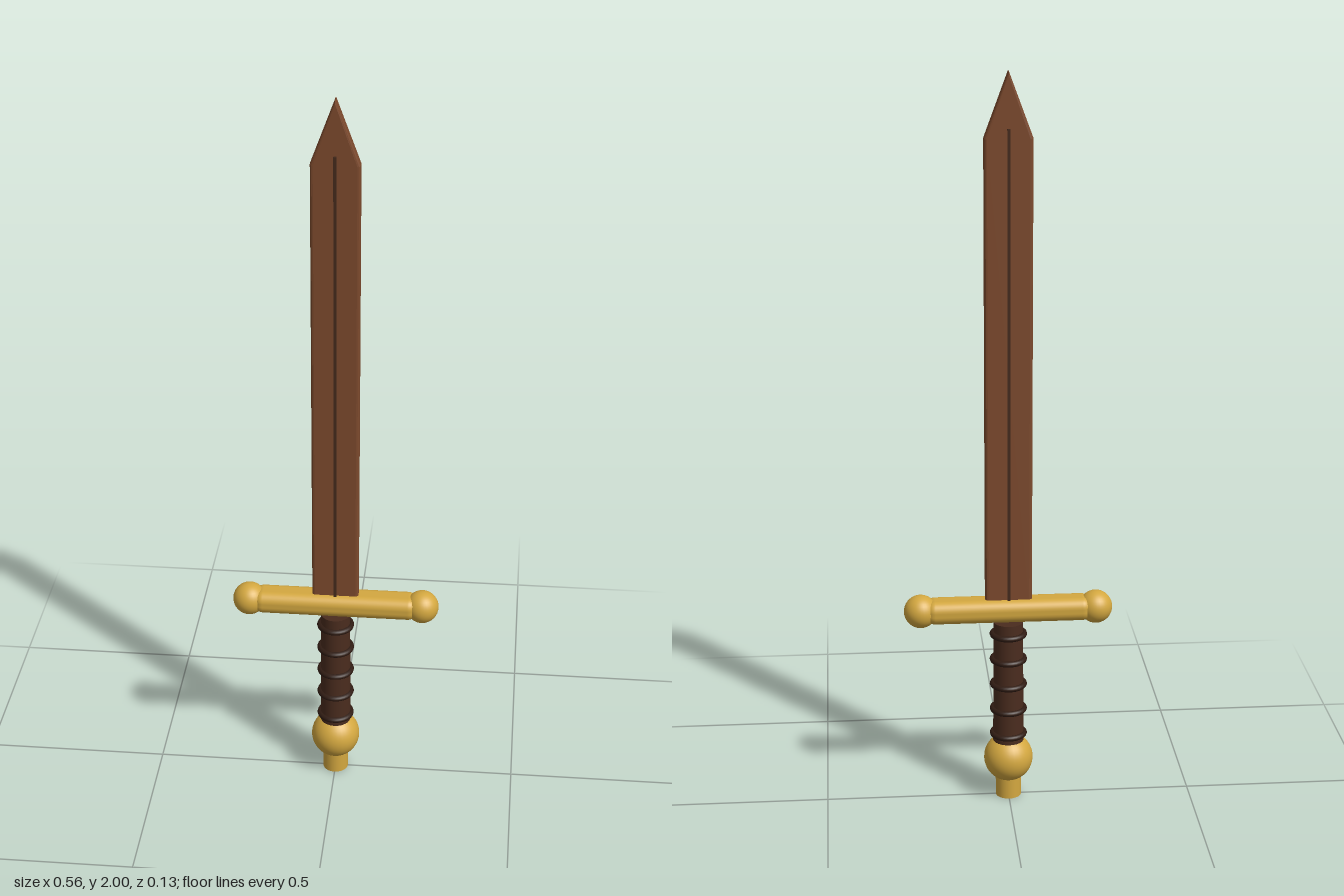
import * as THREE from 'three';
import { RoundedBoxGeometry } from 'three/addons/geometries/RoundedBoxGeometry.js';

const material = (name, color) => {
  const m = new THREE.MeshStandardMaterial({ color });
  m.name = name;
  return m;
};

export function createModel() {
  const group = new THREE.Group();
  const bladeBrown = material('blade brown', 0x7d4a2d);
  const ridgeBrown = material('ridge dark brown', 0x442a1c);
  const gripBrown = material('grip brown', 0x4a2c1e);
  const ringBrown = material('ring dark brown', 0x301c13);
  const gold = material('gold', 0xd4a840);

  const add = (name, geometry, mat, x = 0, y = 0, z = 0) => {
    const mesh = new THREE.Mesh(geometry, mat);
    mesh.name = name;
    mesh.position.set(x, y, z);
    group.add(mesh);
    return mesh;
  };

  // Blade: pointed outline with softly rounded edges
  const outline = new THREE.Shape([
    [-0.063, 0.56], [0.063, 0.56], [0.063, 1.83], [0, 2], [-0.063, 1.83],
  ].map(([x, y]) => new THREE.Vector2(x, y)));
  const bevel = 0.008;
  const blade = new THREE.ExtrudeGeometry(outline, {
    depth: 0.032 - 2 * bevel,
    bevelThickness: bevel, bevelSize: bevel, bevelOffset: -bevel, bevelSegments: 3,
  });
  blade.translate(0, 0, -0.016 + bevel);
  add('blade', blade, bladeBrown);

  // Central ridge standing proud of both faces
  add('bladeRidge', new THREE.BoxGeometry(0.008, 1.295, 0.042), ridgeBrown, 0, 1.2075);

  // Crossguard with a ball on each end
  add('crossguard', new RoundedBoxGeometry(0.45, 0.064, 0.08, 4, 0.027), gold, 0, 0.552);
  for (const side of [-1, 1]) {
    add(side > 0 ? 'leftGuardBall' : 'rightGuardBall',
      new THREE.SphereGeometry(0.045, 32, 20), gold, side * 0.237, 0.552);
  }

  // Grip with evenly spaced binding rings
  add('grip', new THREE.CylinderGeometry(0.04, 0.042, 0.37, 24), gripBrown, 0, 0.33);
  for (let i = 0; i < 5; i++) {
    const ring = add('gripRing', new THREE.TorusGeometry(0.043, 0.008, 10, 32), ringBrown, 0, 0.186 + i * 0.0735);
    ring.rotation.x = Math.PI / 2;
  }

  // Pommel and its end cap
  add('pommel', new THREE.SphereGeometry(0.067, 32, 24), gold, 0, 0.113);
  add('pommelCap', new THREE.CylinderGeometry(0.035, 0.035, 0.07, 24), gold, 0, 0.035);

  return group;
}
